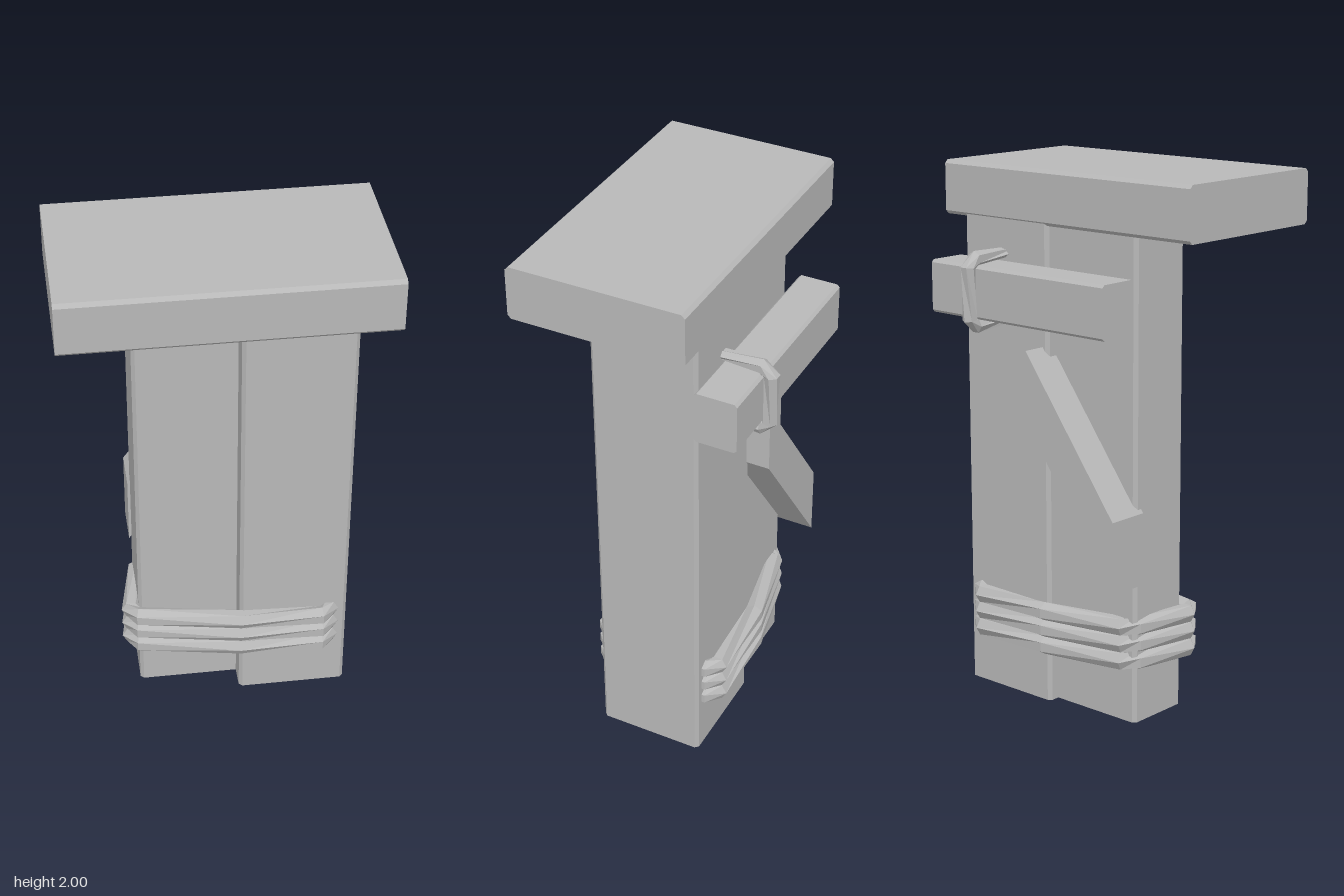
import * as THREE from 'three';

const stone = new THREE.MeshStandardMaterial({ color: 0xb8b8b8, flatShading: true });
stone.name = 'grey';

const polygon = (pts) => new THREE.Shape(pts.map(([x, y]) => new THREE.Vector2(x, y)));

// Block between two corners, with the four edges along one axis chamfered
function block(name, min, max, axis, c = 0.013) {
  const size = max.map((v, i) => v - min[i]);
  const [w, h, d] = axis === 'x' ? [size[2], size[1], size[0]]
    : [size[0], size[2], size[1]];
  const a = w / 2, b = h / 2;
  const shape = polygon([[c - a, -b], [a - c, -b], [a, c - b], [a, b - c],
    [a - c, b], [c - a, b], [-a, b - c], [-a, c - b]]);
  const geo = new THREE.ExtrudeGeometry(shape, { depth: d, bevelEnabled: false });
  geo.translate(0, 0, -d / 2);
  if (axis === 'x') geo.rotateY(Math.PI / 2);
  else geo.rotateX(-Math.PI / 2);
  geo.translate(...max.map((v, i) => (v + min[i]) / 2));
  const mesh = new THREE.Mesh(geo, stone);
  mesh.name = name;
  return mesh;
}

// Faceted rope: a closed loop of six-sided rings in the plane across `axis`
function rope(name, points, axis, radius, twist) {
  const sides = 6, count = points.length, pos = [], index = [];
  points.forEach((p, i) => {
    const next = points[(i + 1) % count], prev = points[(i + count - 1) % count];
    const out = next.clone().sub(prev).cross(axis).normalize();
    for (let j = 0; j < sides; j++) {
      const t = ((j + (i % 2) * twist) / sides) * Math.PI * 2;
      const v = p.clone().addScaledVector(out, Math.cos(t) * radius)
        .addScaledVector(axis, Math.sin(t) * radius);
      pos.push(v.x, v.y, v.z);
      const k = (j + 1) % sides, n = (i + 1) % count;
      const a = i * sides + j, b = n * sides + j, c = n * sides + k, d = i * sides + k;
      index.push(a, b, c, a, c, d);
    }
  });
  const geo = new THREE.BufferGeometry();
  geo.setAttribute('position', new THREE.Float32BufferAttribute(pos, 3));
  geo.setIndex(index);
  geo.computeVertexNormals();
  const mesh = new THREE.Mesh(geo, stone);
  mesh.name = name;
  return mesh;
}

export function createModel() {
  const model = new THREE.Group();
  model.name = 'post';

  // Slab and the two uprights, the right-hand one thinner and set back
  model.add(block('topSlab', [-0.58, 1.8, -0.235], [0.58, 2, 0.43], 'x'));
  model.add(block('thickUpright', [0.075, 0, -0.23], [0.49, 1.81, 0.175], 'y'));
  model.add(block('thinUpright', [-0.305, 0, -0.185], [0.1, 1.81, 0.08], 'y'));

  // Crossbeam on the back
  model.add(block('crossbeam', [-0.325, 1.46, -0.385], [0.505, 1.655, -0.225], 'x', 0.01));

  // Slanted brace with upright ends
  const braceGeo = new THREE.ExtrudeGeometry(
    polygon([[-0.315, 0.53], [0.1, 1.1], [0.1, 1.36], [-0.315, 0.8]]),
    { depth: 0.165, bevelEnabled: false });
  braceGeo.translate(0, 0, -0.32);
  const brace = new THREE.Mesh(braceGeo, stone);
  brace.name = 'brace';
  model.add(brace);

  // Three turns of rope round the foot
  const turn = [[-0.335, 0.08], [-0.31, 0.12], [0.08, 0.19], [0.39, 0.205], [0.425, 0.17],
    [0.425, -0.24], [0.39, -0.265], [0.07, -0.26], [-0.25, -0.19], [-0.29, -0.16]];
  [0.235, 0.302, 0.367].forEach((y, i) => {
    const pts = turn.map(([x, z]) => new THREE.Vector3(x, y, z));
    model.add(rope(`footRope${i + 1}`, pts, new THREE.Vector3(0, 1, 0), 0.036, 0.5));
  });

  // Rope tie holding the crossbeam
  const tie = [[1.44, -0.19], [1.435, -0.375], [1.46, -0.405], [1.65, -0.41],
    [1.68, -0.375], [1.685, -0.19]].map(([y, z]) => new THREE.Vector3(0.292, y, z));
  model.add(rope('beamTie', tie, new THREE.Vector3(1, 0, 0), 0.028, 0.5));

  return model;
}
